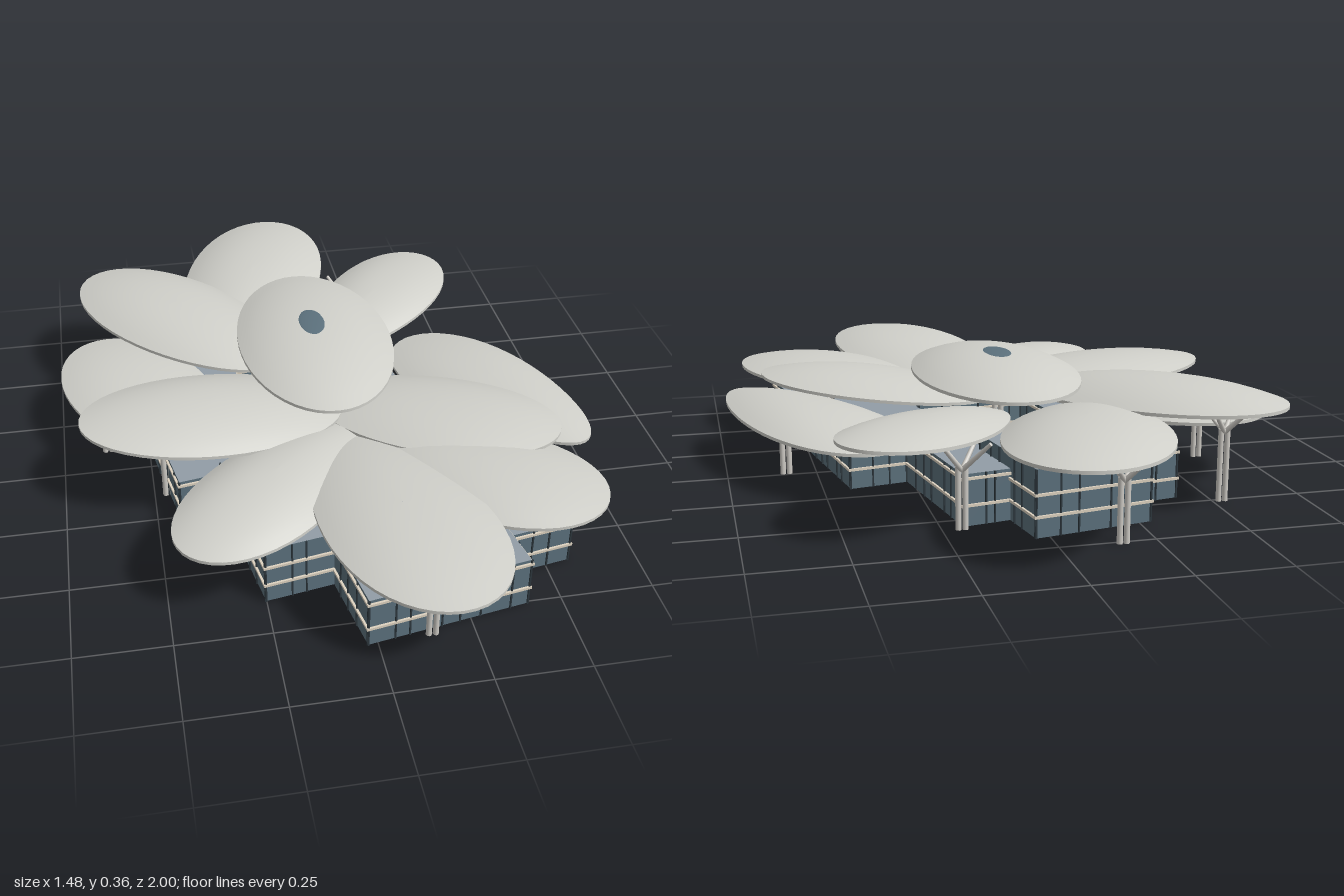
import * as THREE from 'three';

const mat = (name, color, side = THREE.FrontSide) => {
  const m = new THREE.MeshStandardMaterial({ color, side });
  m.name = name;
  return m;
};

export function createModel() {
  const model = new THREE.Group();
  const shell = mat('pale shell', 0xd0d0ca);
  const glass = mat('blue grey glass', 0x5c717d, THREE.DoubleSide);
  const roof = mat('grey roof', 0x929da6, THREE.DoubleSide);
  const dark = mat('dark mullion', 0x2c363c);
  const band = mat('beige band', 0xddd2c0);
  const steel = mat('light column', 0xcfccc6);

  const add = (parent, name, geo, material, x = 0, y = 0, z = 0) => {
    const m = new THREE.Mesh(geo, material);
    m.name = name;
    m.position.set(x, y, z);
    parent.add(m);
    return m;
  };

  // Domed petal roof with a flat underside, from a root point to a tip point (x, z)
  function petalGeometry([rx, rz], [tx, tz], width, egg, yRoot, yTip, dome) {
    const N = 48, thick = 0.009, pos = [], index = [];
    const half = Math.hypot(tx - rx, tz - rz) / 2;
    const dx = (tx - rx) / (2 * half), dz = (tz - rz) / (2 * half);
    const surface = (rows) => {
      const base = pos.length / 3;
      rows.forEach(([r, lift], i) => {
        for (let j = 0; j < N; j++) {
          const t = (j / N) * Math.PI * 2;
          const s = r * Math.cos(t);
          const w = r * Math.sin(t) * width * (1 + egg * Math.cos(t));
          pos.push(
            (rx + tx) / 2 + dx * s * half + dz * w,
            yRoot + (yTip - yRoot) * (s + 1) / 2 + lift,
            (rz + tz) / 2 + dz * s * half - dx * w);
          if (i === 0) continue;
          const k = (j + 1) % N;
          const a = base + (i - 1) * N + j, b = base + i * N + j;
          const c = base + i * N + k, d = base + (i - 1) * N + k;
          index.push(a, b, c, a, c, d);
        }
      });
    };
    const radii = [0.002, 0.15, 0.3, 0.45, 0.6, 0.75, 0.88, 1];
    surface(radii.map((r) => [r, thick + dome * (1 - r ** 2.3)]));
    surface([[1, thick], [1, 0]]);
    surface([[1, 0], [0.002, 0]]);
    const g = new THREE.BufferGeometry();
    g.setAttribute('position', new THREE.Float32BufferAttribute(pos, 3));
    g.setIndex(index);
    g.computeVertexNormals();
    return g;
  }

  // root, tip, half width, egg factor, root height, tip height, dome rise
  const petals = [
    ['topPetal', [0.01, 0.25], [0.01, -0.52], 0.225, 0, 0.297, 0.297, 0.054],
    ['backPetal', [-0.24, -0.25], [0.015, -0.995], 0.215, 0.1, 0.215, 0.258, 0.05],
    ['backRightPetal', [-0.1, -0.09], [-0.62, -0.67], 0.2, 0.08, 0.25, 0.28, 0.052],
    ['backLeftPetal', [0.02, -0.2], [0.475, -0.68], 0.165, 0.22, 0.2, 0.25, 0.038],
    ['lowLeftPetal', [0.34, -0.34], [0.695, 0.335], 0.178, -0.22, 0.14, 0.172, 0.042],
    ['leftPetal', [0, 0.0], [0.61, 0.355], 0.19, 0.05, 0.185, 0.225, 0.041],
    ['frontLeftPetal', [0.1, 0.2], [0.63, 0.665], 0.205, 0.12, 0.165, 0.203, 0.045],
    ['frontPetal', [0.02, 0.22], [0.19, 0.995], 0.215, 0.15, 0.185, 0.227, 0.042],
    ['frontRightPetal', [0.08, 0.12], [-0.44, 0.66], 0.178, 0.15, 0.17, 0.192, 0.05],
    ['rightPetal', [0.05, 0.07], [-0.69, 0.13], 0.205, 0.02, 0.2, 0.252, 0.045],
    ['lowRightPetal', [-0.36, 0.15], [-0.65, -0.41], 0.2, 0.05, 0.15, 0.185, 0.038],
  ];
  for (const [name, ...spec] of petals) add(model, name, petalGeometry(...spec), shell);

  // Oval skylight on the top petal
  const skylight = add(model, 'skylight', new THREE.SphereGeometry(1, 32, 6, 0, Math.PI * 2, 0, Math.PI / 2),
    glass, 0.005, 0.356, -0.14);
  skylight.scale.set(0.043, 0.006, 0.08);

  // Building wings around a courtyard, all turned by the same angle
  const building = new THREE.Group();
  building.name = 'building';
  building.rotation.y = THREE.MathUtils.degToRad(10);
  model.add(building);
  const wings = [
    ['frontWing', -0.17, 0.27, 0.42, 0.815, 0.145],
    ['leftWing', 0.14, 0.45, -0.1, 0.7, 0.132],
    ['frontRightWing', -0.357, 0.139, 0.19, 0.578, 0.17],
    ['rightWing', -0.475, -0.2, -0.24, 0.189, 0.135],
    ['backRightWing', -0.33, -0.169, -0.52, -0.241, 0.14],
    ['backWing', -0.168, 0.155, -0.662, -0.32, 0.178],
    ['backLeftWing', 0.141, 0.285, -0.51, -0.101, 0.138],
  ];
  for (const [name, u0, u1, v0, v1, h] of wings) {
    const wing = new THREE.Group();
    wing.name = name;
    wing.position.set((u0 + u1) / 2, 0, (v0 + v1) / 2);
    building.add(wing);
    const w = u1 - u0, d = v1 - v0;
    // Glass walls and roof, open below
    const box = new THREE.BoxGeometry(w, h, d);
    box.groups.splice(3, 1);
    add(wing, 'glassWalls', box, [glass, glass, roof, glass, glass, glass], 0, h / 2, 0);
    // Horizontal bands
    for (const y of [0.055, h > 0.16 ? 0.112 : h - 0.012]) {
      for (const s of [-1, 1]) {
        add(wing, 'band', new THREE.BoxGeometry(w + 0.012, 0.007, 0.006), band, 0, y, s * (d / 2 + 0.003));
        add(wing, 'band', new THREE.BoxGeometry(0.006, 0.007, d + 0.012), band, s * (w / 2 + 0.003), y, 0);
      }
    }
    // Mullions on the outer faces at a slightly uneven rhythm
    const rhythm = (length) => {
      const n = Math.max(3, Math.round(length / 0.065));
      return Array.from({ length: n + 1 }, (_, i) =>
        length * (i / n - 0.5) + (i % n ? 0.014 * Math.sin(i * 2.4) : 0));
    };
    for (const s of [-1, 1]) {
      for (const p of rhythm(w)) {
        add(wing, 'mullion', new THREE.BoxGeometry(0.004, h, 0.004), dark, p, h / 2, s * (d / 2 + 0.002));
      }
      for (const p of rhythm(d)) {
        add(wing, 'mullion', new THREE.BoxGeometry(0.004, h, 0.004), dark, s * (w / 2 + 0.002), h / 2, p);
      }
    }
  }

  // Branching columns: x, z, height of the branch ends, rise of the branches
  const up = new THREE.Vector3(0, 1, 0);
  const columns = [
    [0.585, 0.01, 0.165, 0.075], [0.2, -0.57, 0.235, 0.08], [-0.16, -0.76, 0.245, 0.085],
    [-0.525, -0.51, 0.275, 0.085], [-0.62, -0.1, 0.175, 0.075], [0.14, 0.822, 0.218, 0.08],
    [-0.46, 0.14, 0.24, 0.08], [0, -0.14, 0.3, 0.05], [0.44, 0.25, 0.215, 0.08], [-0.15, 0.46, 0.182, 0.07],
  ];
  for (const [x, z, top, rise] of columns) {
    const column = new THREE.Group();
    column.name = 'branchingColumn';
    column.position.set(x, 0, z);
    model.add(column);
    const fork = top - rise;
    for (const s of [-1, 1]) {
      add(column, 'post', new THREE.CylinderGeometry(0.008, 0.008, fork + 0.01, 8), steel, s * 0.009, (fork + 0.01) / 2, 0);
    }
    for (let i = 0; i < 4; i++) {
      const a = Math.PI / 4 + i * Math.PI / 2;
      const from = new THREE.Vector3(0, fork, 0);
      const to = new THREE.Vector3(Math.cos(a) * 0.085, top, Math.sin(a) * 0.085);
      const dir = to.clone().sub(from);
      const mid = from.clone().add(to).multiplyScalar(0.5);
      const branch = add(column, 'branch', new THREE.CylinderGeometry(0.005, 0.007, dir.length(), 8), steel, mid.x, mid.y, mid.z);
      branch.quaternion.setFromUnitVectors(up, dir.normalize());
    }
  }
  return model;
}
